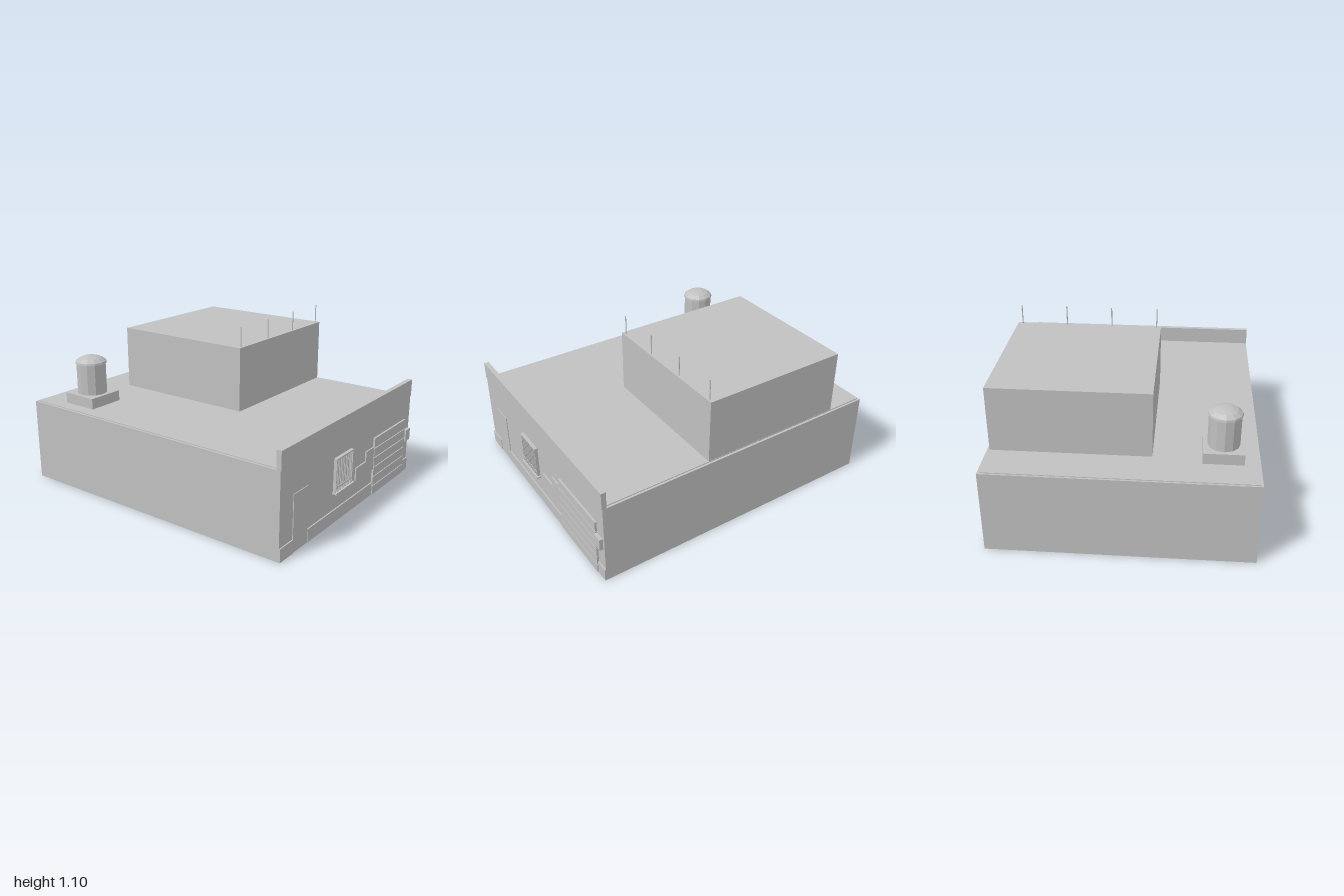
import * as THREE from 'three';

export function createModel() {
  const model = new THREE.Group();
  model.name = 'house';
  const grey = new THREE.MeshStandardMaterial({ color: 0xc0c0c0, flatShading: true });
  grey.name = 'plain grey';

  const add = (name, geometry, parent = model) => {
    const mesh = new THREE.Mesh(geometry, grey);
    mesh.name = name;
    parent.add(mesh);
    return mesh;
  };
  // Box given by its limits on each axis
  const block = (name, x0, x1, y0, y1, z0, z1, parent) => {
    const mesh = add(name, new THREE.BoxGeometry(x1 - x0, y1 - y0, z1 - z0), parent);
    mesh.position.set((x0 + x1) / 2, (y0 + y1) / 2, (z0 + z1) / 2);
    return mesh;
  };
  const group = (name) => {
    const g = new THREE.Group();
    g.name = name;
    model.add(g);
    return g;
  };

  const front = 0.97;

  // Main storey, roof deck and front parapet
  block('mainStorey', -0.82, 0.82, 0, 0.545, -1, front);
  block('roofDeck', -0.805, 0.805, 0.545, 0.55, -0.988, 0.94);
  block('parapet', -0.82, 0.82, 0.545, 0.66, 0.942, 0.974);

  // Upper storey with rods standing along its front edge
  block('upperStorey', -0.18, 0.803, 0.55, 0.97, -0.745, 0.237);
  for (const x of [-0.15, 0.156, 0.462, 0.77]) {
    const rod = add('roofRod', new THREE.CylinderGeometry(0.004, 0.004, 0.13, 6));
    rod.position.set(x, 1.035, 0.222);
  }

  // Water tank on its plinth
  const tank = group('waterTank');
  block('tankPlinth', -0.722, -0.477, 0.55, 0.62, -0.797, -0.552, tank);
  const profile = [[0, 0.62], [0.098, 0.62], [0.098, 0.822], [0.105, 0.822], [0.102, 0.835],
    [0.075, 0.855], [0.04, 0.867], [0, 0.871]].map(([r, y]) => new THREE.Vector2(r, y));
  const barrel = add('tankBarrel', new THREE.LatheGeometry(profile, 12), tank);
  barrel.position.set(-0.6, 0, -0.675);

  // Front plinth strips and door
  for (const [x0, x1] of [[-0.82, -0.685], [-0.53, 0.277], [0.74, 0.82]]) {
    block('wallPlinth', x0, x1, 0, 0.085, front, 0.978);
  }
  block('door', -0.685, -0.53, 0, 0.362, front, 0.975);

  // Barred window
  const win = group('window');
  block('windowSill', -0.246, -0.017, 0.196, 0.206, front, 1, win);
  block('topRail', -0.237, -0.03, 0.416, 0.424, front, 0.992, win);
  block('lowerRail', -0.237, -0.03, 0.233, 0.239, 0.984, 0.99, win);
  for (const x of [-0.237, -0.036]) {
    block('windowJamb', x, x + 0.006, 0.206, 0.416, front, 0.99, win);
  }
  for (let i = 0; i < 9; i++) {
    const bar = add('windowBar', new THREE.CylinderGeometry(0.004, 0.004, 0.21, 6), win);
    bar.position.set(-0.216 + i * 0.0206, 0.311, 0.987);
  }

  // Stepped wall panel beside the garage
  const steps = new THREE.Shape([[0.04, 0.18], [0.277, 0.18], [0.277, 0.335], [0.17, 0.335],
    [0.17, 0.268], [0.04, 0.268]].map(([x, y]) => new THREE.Vector2(x, y)));
  add('steppedPanel', new THREE.ExtrudeGeometry(steps, { depth: 0.009, bevelEnabled: false }))
    .position.z = front;

  // Slatted garage door
  const garage = group('garageDoor');
  block('garageBacking', 0.277, 0.738, 0, 0.396, front, 0.976, garage);
  const pitch = 0.396 / 6;
  for (let i = 0; i < 6; i++) {
    block('garageSlat', 0.277, 0.738, i * pitch, (i + 1) * pitch - (i < 5 ? 0.006 : 0), 0.976, 0.983, garage);
  }

  // Box on the wall at the corner
  block('wallBox', 0.738, 0.803, 0.235, 0.315, front, 0.993);

  return model;
}
